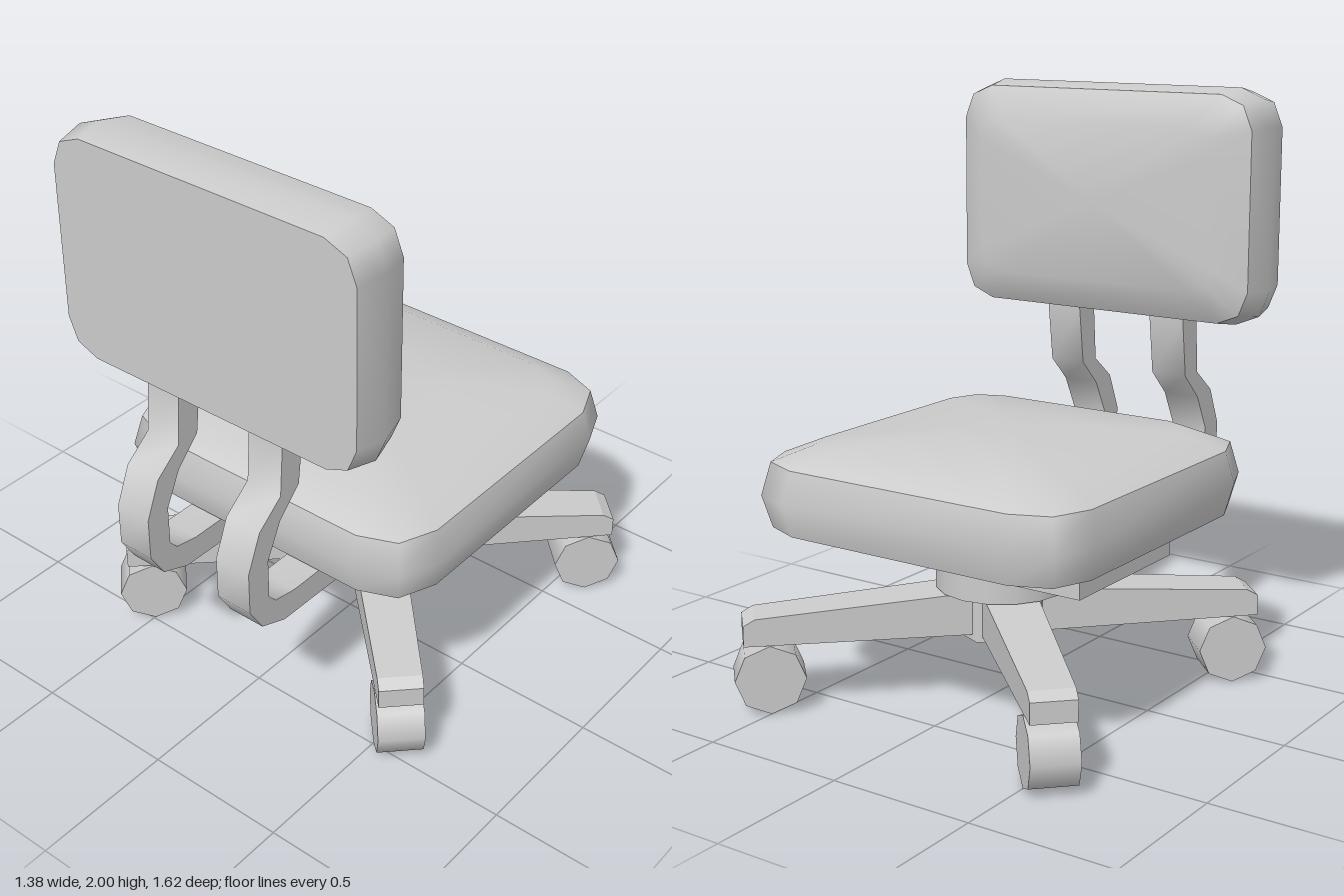
import * as THREE from 'three';
import { toCreasedNormals } from 'three/addons/utils/BufferGeometryUtils.js';

const grey = new THREE.MeshStandardMaterial({ color: 0xcccccc });
grey.name = 'plain grey';

function part(name, geometry, parent, x = 0, y = 0, z = 0) {
  const mesh = new THREE.Mesh(geometry, grey);
  mesh.name = name;
  mesh.position.set(x, y, z);
  parent.add(mesh);
  return mesh;
}

// Rectangle with rounded corners, three points per corner: [half x, half z, corner size, y]
function ringPoints([hx, hz, c, y]) {
  const points = [];
  [[1, 1], [-1, 1], [-1, -1], [1, -1]].forEach(([sx, sz], q) => {
    const corner = [[hx, hz - c], [hx - 0.29 * c, hz - 0.29 * c], [hx - c, hz]];
    if (q % 2) corner.reverse();
    corner.forEach(([x, z]) => points.push(x * sx, y, z * sz));
  });
  return points;
}

// Skin over stacked rings; cap 1 closes the last ring, -1 closes the first one
function loft(rings, cap = 0) {
  const n = 12;
  const positions = rings.flatMap(ringPoints);
  const index = [];
  for (let i = 0; i < rings.length - 1; i++) {
    for (let k = 0; k < n; k++) {
      const a = i * n + k, b = i * n + (k + 1) % n;
      index.push(a, a + n, b, b, a + n, b + n);
    }
  }
  if (cap) {
    const centre = positions.length / 3;
    const start = cap > 0 ? (rings.length - 1) * n : 0;
    positions.push(0, rings[cap > 0 ? rings.length - 1 : 0][3], 0);
    for (let k = 0; k < n; k++) {
      const a = start + k, b = start + (k + 1) % n;
      if (cap > 0) index.push(centre, b, a);
      else index.push(centre, a, b);
    }
  }
  const geometry = new THREE.BufferGeometry();
  geometry.setAttribute('position', new THREE.Float32BufferAttribute(positions, 3));
  geometry.setIndex(index);
  geometry.computeVertexNormals();
  return geometry;
}

// Padded cushion: flat base, bulging rim and domed face, each smooth on its own
function cushion(name, rim, dome) {
  const group = new THREE.Group();
  group.name = name;
  part(name + 'Base', loft([rim[0]], -1), group);
  part(name + 'Rim', loft(rim), group);
  part(name + 'Face', loft([rim[rim.length - 1], ...dome], 1), group);
  return group;
}

const shapeOf = (points) => new THREE.Shape(points.map(([x, y]) => new THREE.Vector2(x, y)));

export function createModel() {
  const chair = new THREE.Group();
  chair.name = 'officeChair';
  const axisZ = -0.115;

  // Seat
  const seat = cushion('seat',
    [[0.6, 0.59, 0.18, 0.61], [0.625, 0.62, 0.19, 0.72], [0.6, 0.592, 0.18, 0.83]],
    [[0.48, 0.485, 0.14, 0.883], [0.2, 0.215, 0.06, 0.91]]);
  seat.position.z = -0.1;
  chair.add(seat);

  // Backrest, flat behind and domed towards the seat
  const backrest = cushion('backrest',
    [[0.582, 0.382, 0.115, 0], [0.605, 0.4, 0.125, 0.105], [0.577, 0.382, 0.115, 0.21]],
    [[0.465, 0.27, 0.08, 0.273]]);
  backrest.rotation.x = -Math.PI / 2;
  backrest.position.set(0, 1.6, 0.69);
  chair.add(backrest);

  // Two bent bars that carry the backrest
  const barShape = shapeOf([
    [0.64, 1.26], [0.64, 1.2], [0.655, 1.0], [0.755, 0.92], [0.81, 0.79], [0.81, 0.64],
    [0.755, 0.55], [0.65, 0.51], [0.15, 0.505], [0.15, 0.6], [0.6, 0.6], [0.69, 0.615],
    [0.72, 0.65], [0.72, 0.79], [0.66, 0.91], [0.57, 1.0], [0.545, 1.2], [0.545, 1.26]]);
  const barGeometry = toCreasedNormals(
    new THREE.ExtrudeGeometry(barShape, { depth: 0.133, bevelEnabled: false }), 0.85);
  for (const [name, x] of [['leftBackBar', 0.193], ['rightBackBar', -0.23]]) {
    part(name, barGeometry, chair, x + 0.0665).rotation.y = -Math.PI / 2;
  }

  // Mounting plate, hub and column
  part('seatPlate', new THREE.BoxGeometry(0.95, 0.125, 0.55), chair, 0, 0.548, -0.105);
  part('hub', new THREE.CylinderGeometry(0.226, 0.226, 0.108, 16), chair, 0, 0.433, axisZ);
  part('column', new THREE.CylinderGeometry(0.155, 0.155, 0.17, 8), chair, 0, 0.3, axisZ);

  // Tapered leg profile
  const legGeometry = new THREE.ExtrudeGeometry(
    shapeOf([[0.1, 0.235], [0.868, 0.235], [0.868, 0.305], [0.83, 0.327], [0.1, 0.382]]),
    { depth: 1, bevelEnabled: false });
  const p = legGeometry.attributes.position;
  for (let i = 0; i < p.count; i++) {
    const halfWidth = THREE.MathUtils.mapLinear(p.getX(i), 0.1, 0.868, 0.09, 0.073);
    p.setZ(i, (p.getZ(i) - 0.5) * 2 * halfWidth);
  }
  legGeometry.computeVertexNormals();
  const wheelGeometry = new THREE.CylinderGeometry(0.117, 0.117, 0.155, 8).rotateX(Math.PI / 2);

  // Four legs with wheels
  for (let i = 0; i < 4; i++) {
    const leg = new THREE.Group();
    leg.name = 'leg' + (i + 1);
    part('legBeam', legGeometry, leg);
    part('wheel', wheelGeometry, leg, 0.783, 0.117, 0);
    leg.rotation.y = Math.PI / 4 + i * Math.PI / 2;
    leg.position.z = axisZ;
    chair.add(leg);
  }
  return chair;
}
